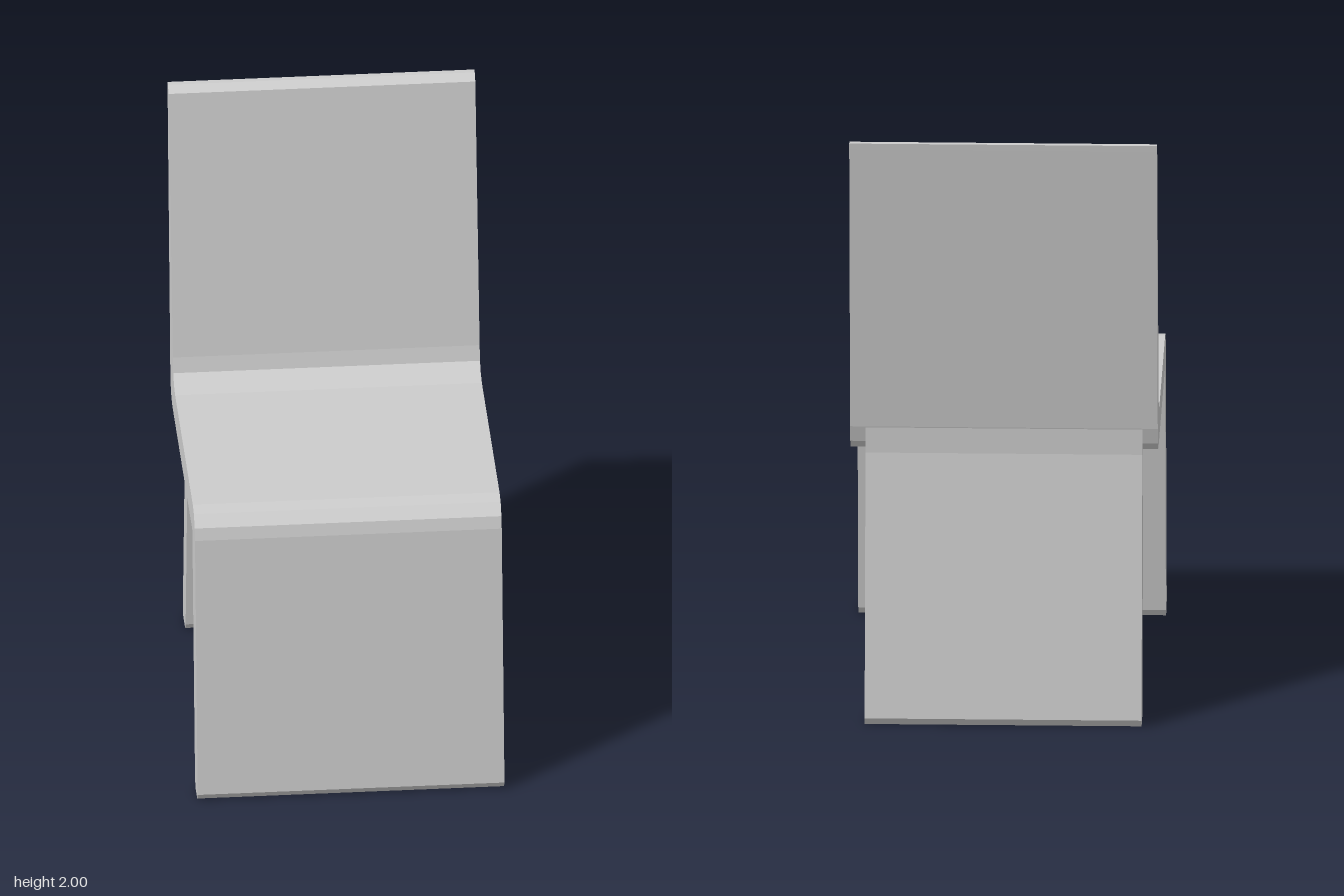
import * as THREE from 'three';

// Slab with a side profile given as [z, y] points, extruded across x and centred
function slab(name, profile, width, material) {
  const shape = new THREE.Shape(profile.map(([z, y]) => new THREE.Vector2(z, y)));
  const geometry = new THREE.ExtrudeGeometry(shape, { depth: width, bevelEnabled: false });
  geometry.translate(0, 0, -width / 2);
  geometry.rotateY(-Math.PI / 2);
  const mesh = new THREE.Mesh(geometry, material);
  mesh.name = name;
  return mesh;
}

export function createModel() {
  const group = new THREE.Group();
  group.name = 'chair';
  const material = new THREE.MeshStandardMaterial({ color: 0xcccccc, flatShading: true });

  // One folded sheet: front leg, seat and backrest
  const shell = [
    [0.5, 0.025], [0.52, 0], [0.59, 0], [0.61, 0.025],              // front foot
    [0.5, 0.915], [0.488, 0.955], [0.455, 0.99], [0.41, 1.0],       // front bend
    [-0.3, 1.0], [-0.345, 1.012], [-0.375, 1.04], [-0.39, 1.09],    // inner bend to the back
    [-0.563, 1.98], [-0.588, 2.0], [-0.607, 2.0], [-0.605, 1.98],   // top edge
    [-0.495, 0.99], [-0.48, 0.935], [-0.45, 0.905], [-0.405, 0.895], // outer bend under the back
    [0.392, 0.895],                                                 // inner corner under the seat
  ];
  group.add(slab('seatShell', shell, 1, material));

  // Slightly narrower rear leg, tucked into the bend
  const rear = [
    [-0.607, 0.025], [-0.59, 0], [-0.515, 0], [-0.495, 0.025],
    [-0.388, 0.895], [-0.42, 0.96], [-0.494, 1.0], [-0.494, 0.9],
  ];
  group.add(slab('rearLeg', rear, 0.9, material));

  return group;
}
